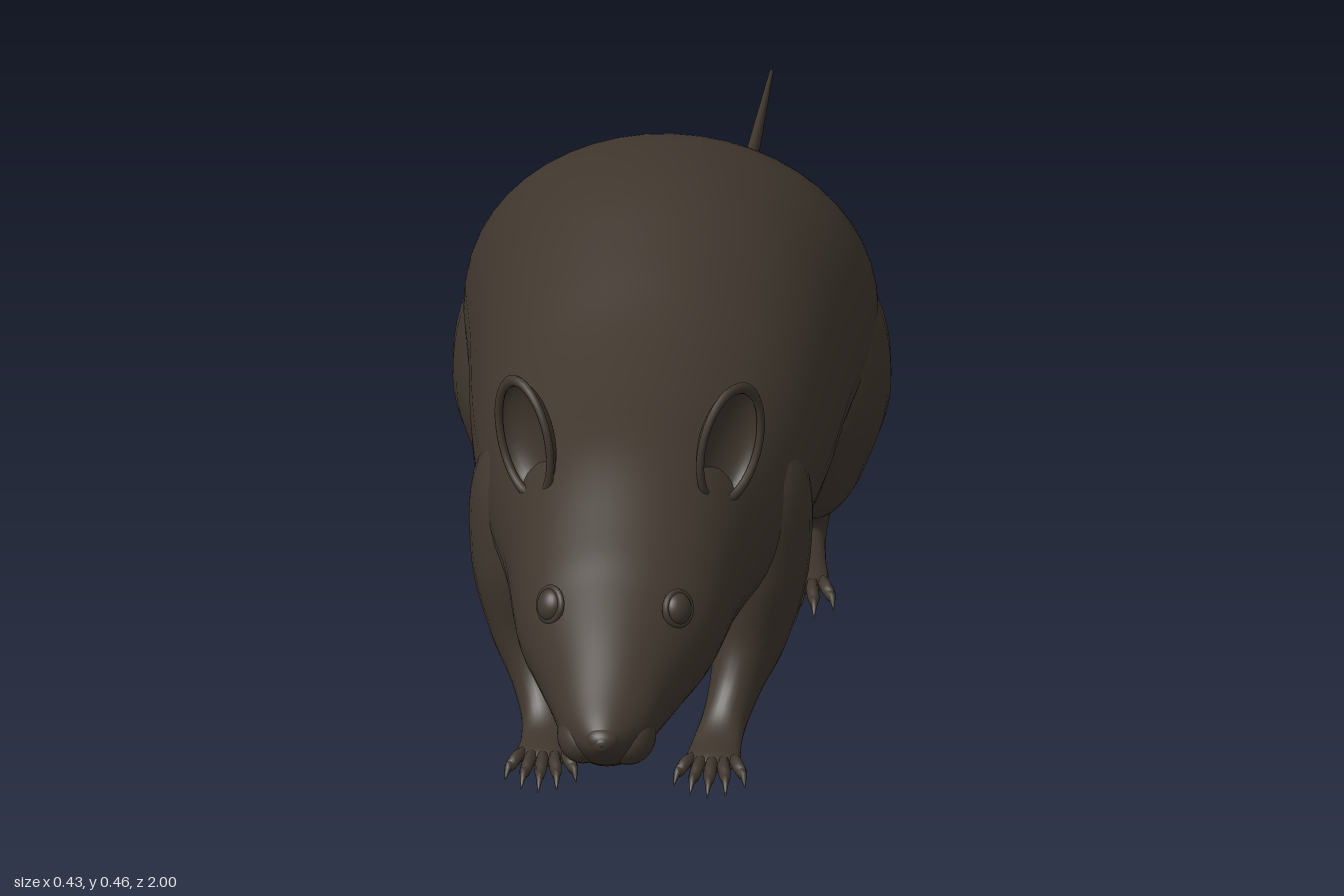
import * as THREE from 'three';

const fur = new THREE.MeshStandardMaterial({ color: 0x40372e });
fur.name = 'dark brown fur';
fur.side = THREE.DoubleSide;

// Smooth skin over elliptical rings; each station is [x, y, z, sideRadius, upRadius].
function loft(name, stations, steps, sides, upright = false) {
  const smooth = (pick) => new THREE.CatmullRomCurve3(stations.map(pick), false, 'catmullrom', 0.5);
  const path = smooth((s) => new THREE.Vector3(s[0], s[1], s[2]));
  const radii = smooth((s) => new THREE.Vector3(s[3], s[4], 0));
  const pos = [], idx = [];
  const n = steps * (stations.length - 1);
  for (let i = 0; i <= n; i++) {
    const c = path.getPoint(i / n), r = radii.getPoint(i / n);
    const t = upright ? new THREE.Vector3(0, 0, 1) : path.getTangent(i / n);
    const side = new THREE.Vector3(1, 0, 0).addScaledVector(t, -t.x).normalize();
    const up = new THREE.Vector3().crossVectors(t, side);
    for (let j = 0; j < sides; j++) {
      const a = (j / sides) * Math.PI * 2;
      const p = c.clone()
        .addScaledVector(side, Math.cos(a) * Math.max(r.x, 0.0005))
        .addScaledVector(up, Math.sin(a) * Math.max(r.y, 0.0005));
      pos.push(p.x, p.y, p.z);
      if (i < n) {
        const k = (j + 1) % sides, b = i * sides, d = b + sides;
        idx.push(b + j, b + k, d + j, b + k, d + k, d + j);
      }
    }
  }
  const geo = new THREE.BufferGeometry();
  geo.setAttribute('position', new THREE.Float32BufferAttribute(pos, 3));
  geo.setIndex(idx);
  geo.computeVertexNormals();
  const mesh = new THREE.Mesh(geo, fur);
  mesh.name = name;
  return mesh;
}

function ball(name, x, y, z, rx, ry, rz) {
  const mesh = new THREE.Mesh(new THREE.SphereGeometry(1, 24, 16), fur);
  mesh.name = name;
  mesh.position.set(x, y, z);
  mesh.scale.set(rx, ry, rz);
  return mesh;
}

// Tail tip to nose: [z, top, bottom, half width]
const PROFILE = [
  [-1, 0.01, 0.004, 0.002], [-0.8, 0.026, 0.008, 0.006], [-0.6, 0.045, 0.017, 0.009],
  [-0.4, 0.08, 0.034, 0.012], [-0.2, 0.127, 0.06, 0.022], [-0.1, 0.167, 0.088, 0.036],
  [-0.05, 0.207, 0.104, 0.05], [0, 0.28, 0.113, 0.078], [0.05, 0.36, 0.113, 0.135],
  [0.1, 0.41, 0.107, 0.178], [0.15, 0.44, 0.1, 0.197], [0.2, 0.455, 0.092, 0.2],
  [0.3, 0.453, 0.075, 0.187], [0.4, 0.425, 0.067, 0.177], [0.5, 0.39, 0.08, 0.163],
  [0.6, 0.366, 0.1, 0.143], [0.7, 0.347, 0.107, 0.119], [0.8, 0.297, 0.11, 0.1],
  [0.85, 0.267, 0.113, 0.082], [0.9, 0.236, 0.114, 0.062], [0.95, 0.202, 0.12, 0.044],
  [0.98, 0.182, 0.137, 0.025], [0.997, 0.168, 0.153, 0.008], [1, 0.162, 0.16, 0.001],
];

// Five curled, clawed toes fanned out from the front of a foot
function toes(x, z, s) {
  const group = new THREE.Group();
  group.name = 'toes';
  for (let i = -2; i <= 2; i++) {
    const bx = x + s * i * 0.0095, fan = s * i * 0.0055;
    const reach = 0.062 - 0.007 * i * i;
    group.add(loft('toe', [
      [bx, 0.013, z - 0.015, 0.005, 0.005],
      [bx + fan * 0.5, 0.017, z + reach * 0.3, 0.0062, 0.0065],
      [bx + fan, 0.012, z + reach * 0.6, 0.0055, 0.006],
      [bx + fan * 1.2, 0.011, z + reach * 0.75, 0.0035, 0.0045],
      [bx + fan * 1.4, 0.002, z + reach, 0.0005, 0.0005],
    ], 3, 8));
  }
  return group;
}

function leg(name, stations, toeX, toeZ, s) {
  const group = new THREE.Group();
  group.name = name;
  group.add(loft('limb', stations.map(([x, ...rest]) => [s * x, ...rest]), 6, 28));
  group.add(toes(s * toeX, toeZ, s));
  return group;
}

const FRONT_LEG = [
  [0.10, 0.31, 0.52, 0.001, 0.001], [0.112, 0.25, 0.53, 0.047, 0.075],
  [0.118, 0.17, 0.54, 0.047, 0.078], [0.11, 0.10, 0.557, 0.037, 0.055],
  [0.097, 0.055, 0.585, 0.026, 0.033], [0.088, 0.027, 0.615, 0.022, 0.023],
  [0.083, 0.015, 0.65, 0.024, 0.013], [0.082, 0.013, 0.69, 0.025, 0.01],
  [0.082, 0.012, 0.705, 0.002, 0.002],
];
const HIND_LEG = [
  [0.10, 0.36, 0.17, 0.001, 0.001], [0.125, 0.28, 0.17, 0.067, 0.09],
  [0.135, 0.19, 0.17, 0.078, 0.11], [0.136, 0.115, 0.168, 0.054, 0.075],
  [0.13, 0.06, 0.152, 0.027, 0.037], [0.127, 0.026, 0.162, 0.022, 0.022],
  [0.128, 0.016, 0.2, 0.024, 0.014], [0.131, 0.013, 0.25, 0.026, 0.01],
  [0.132, 0.012, 0.268, 0.002, 0.002],
];

// Cupped ear with a rounded rim, opening forward and outward
function ear(s) {
  const group = new THREE.Group();
  group.name = s > 0 ? 'leftEar' : 'rightEar';
  const cup = new THREE.Mesh(new THREE.SphereGeometry(1, 28, 10, 0, Math.PI * 2, 0, Math.PI / 2), fur);
  cup.name = 'earCup';
  cup.rotation.x = -Math.PI / 2;
  cup.scale.set(0.038, 0.024, 0.06);
  const rim = new THREE.Mesh(new THREE.TorusGeometry(1, 0.1, 8, 32), fur);
  rim.name = 'earRim';
  rim.scale.set(0.038, 0.06, 0.04);
  group.add(cup, rim);
  group.position.set(s * 0.1, 0.35, 0.695);
  group.rotation.set(-0.08, s * 0.8, -s * 0.2, 'ZYX');
  return group;
}

// Eyeball set in a raised lid
function eye(s) {
  const group = new THREE.Group();
  group.name = s > 0 ? 'leftEye' : 'rightEye';
  const lid = new THREE.Mesh(new THREE.TorusGeometry(0.016, 0.0035, 8, 24), fur);
  lid.name = 'eyelid';
  group.add(ball('eyeball', 0, 0, 0, 0.015, 0.016, 0.011), lid);
  group.position.set(s * 0.062, 0.245, 0.853);
  group.rotation.set(-0.3, s * 0.85, 0, 'YXZ');
  return group;
}

export function createModel() {
  const model = new THREE.Group();
  model.name = 'rodent';
  model.add(loft('bodyAndTail',
    PROFILE.map(([z, top, low, w]) => [0, (top + low) / 2, z, w, (top - low) / 2]), 5, 48, true));

  // Nose and lower jaw
  model.add(ball('nose', 0, 0.163, 0.985, 0.017, 0.012, 0.014));
  model.add(ball('lowerJaw', 0, 0.125, 0.91, 0.032, 0.014, 0.045));

  for (const s of [1, -1]) {
    const side = s > 0 ? 'left' : 'right';
    model.add(ball(side + 'Cheek', s * 0.022, 0.148, 0.94, 0.026, 0.027, 0.038));
    model.add(ear(s), eye(s));
    model.add(leg(side + 'FrontLeg', FRONT_LEG, 0.082, 0.69, s));
    model.add(leg(side + 'HindLeg', HIND_LEG, 0.132, 0.252, s));
  }
  return model;
}
